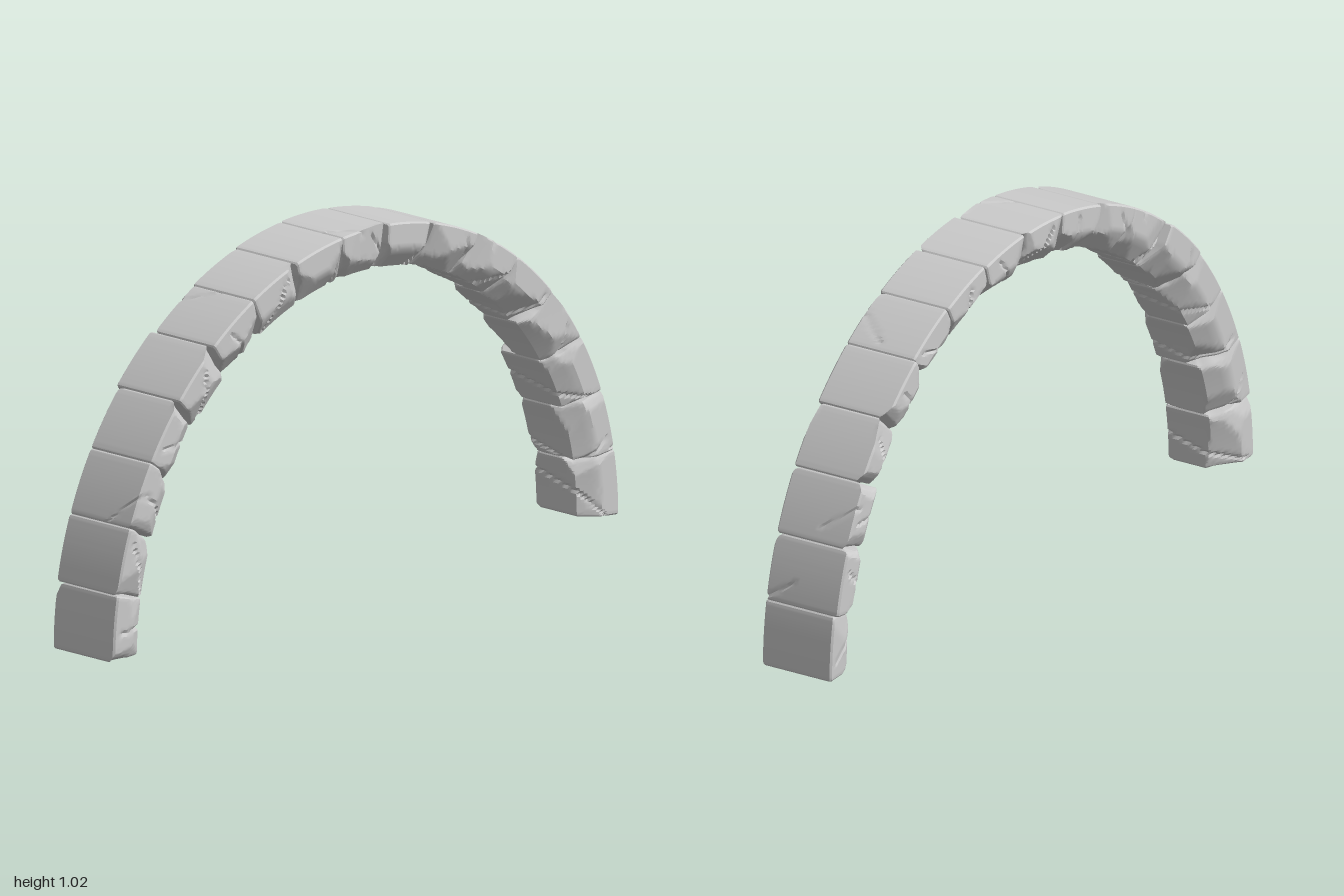
import * as THREE from 'three';
import { toCreasedNormals } from 'three/addons/utils/BufferGeometryUtils.js';

const STONES = 17, STEP = Math.PI / STONES, DEPTH = 0.13, ROWS = 24;
const LEFT = 0.117;
// half width on the right side for each stone, from the front foot to the back foot
const RIGHT = [0.11, 0.112, 0.111, 0.111, 0.121, 0.106, 0.112, 0.117, 0.121,
  0.118, 0.112, 0.107, 0.116, 0.11, 0.118, 0.121, 0.11];
// diagonal cracks on the outer face: stone -> [x, position along stone, slope]
const CRACKS = { 2: [0.06, -0.055, 0.9], 5: [-0.05, 0.06, 0.55], 8: [0.075, -0.05, 0.9],
  11: [0.06, 0.03, -0.8], 14: [-0.06, 0.02, 0.7], 15: [0.07, 0.05, 0.6] };

function seeded(seed) {
  let s = seed * 7919 + 17;
  return () => {
    s = (s * 16807) % 2147483647;
    return s / 2147483647;
  };
}

// Arch frame: x across, r inward-to-outward depth, a angle from the front foot
function place(x, r, a) {
  const inset = DEPTH - r;
  return [x, (1.01 - inset) * Math.sin(a) + 0.015 - inset * 0.1 * Math.cos(a), (1 - inset) * Math.cos(a)];
}

// Block section: flat outside, broad chamfers on the inner edges, finely divided
function section(right, rand) {
  const cl = 0.034 + rand() * 0.014, cr = 0.034 + rand() * 0.014;
  const corners = [
    [-right + cr, 0], [LEFT - cl, 0], [LEFT - 0.008, 0.045], [LEFT, 0.062],
    [LEFT, DEPTH - 0.005], [LEFT - 0.005, DEPTH], [-right + 0.005, DEPTH],
    [-right, DEPTH - 0.005], [-right, 0.062], [-right + 0.008, 0.045],
  ];
  const loop = [];
  corners.forEach(([x, r], i) => {
    const [x2, r2] = corners[(i + 1) % corners.length];
    const n = Math.max(1, Math.round(Math.hypot(x2 - x, r2 - r) / 0.011));
    for (let k = 0; k < n; k++) loop.push([x + (x2 - x) * k / n, r + (r2 - r) * k / n]);
  });
  return loop;
}

// Random chipping planes over the side and inner edges of a stone
function chips(right, half, rand) {
  const list = [];
  for (let i = 0; i < 9; i++) {
    const side = i % 2 ? 1 : -1, end = rand() < 0.5 ? -1 : 1;
    const n = new THREE.Vector3(side * (0.5 + rand() * 0.5), -rand() * 0.8, end * (0.1 + rand() * 0.6)).normalize();
    const support = Math.abs(n.x) * ((side > 0 ? LEFT : right) - 0.012) + n.y * 0.045 + Math.abs(n.z) * half;
    list.push({ n, d: support - 0.002 - rand() * 0.014 });
  }
  return list;
}

function stoneGeometry(index) {
  const rand = seeded(index + 3);
  const right = RIGHT[index], half = STEP * 0.94 / 2;
  const loop = section(right, rand), count = loop.length;
  const planes = chips(right, half, rand);
  const crack = CRACKS[index];
  // one irregular crack across each stone's sides
  const seam = { s: (rand() - 0.5) * 0.08, slope: (rand() - 0.5) * 2.4, r: 0.06 };
  const mid = (index + 0.5) * STEP;
  const pos = [], tris = [], p = new THREE.Vector3();

  for (let j = 0; j <= ROWS; j++) {
    const t = j / ROWS * 2 - 1;
    // rows bunch up at both ends, where the edges are rounded
    const s = half * Math.sin(t * Math.PI / 2) * 0.5 + half * t * 0.5;
    const edge = Math.max(0, 1 - (half - Math.abs(s)) / 0.005);
    for (const [x, r] of loop) {
      p.set(x, r, s);
      for (const { n, d } of planes) {
        const over = p.dot(n) - d;
        if (over > 0) p.addScaledVector(n, -over);
      }
      let sink = edge * 0.004;
      if (crack && r > DEPTH - 0.02) {
        const d = Math.abs(s - crack[1] - (x - crack[0]) * crack[2]);
        if ((x - crack[0]) * Math.sign(crack[0]) > -0.04) sink += 0.005 * Math.max(0, 1 - d / 0.007);
      }
      if (r < DEPTH - 0.02) {
        const d = Math.abs(s - seam.s - (r - seam.r) * seam.slope - x * 0.3);
        sink += 0.007 * Math.max(0, 1 - d / 0.008);
      }
      p.x -= Math.sign(x) * Math.min(1, Math.abs(x) / 0.08) * sink;
      p.y += (DEPTH / 2 - r) / (DEPTH / 2) * sink;
      pos.push(...place(p.x, p.y, mid + p.z * STEP / (half * 2)));
    }
  }
  for (let j = 0; j < ROWS; j++) {
    for (let i = 0; i < count; i++) {
      const k = (i + 1) % count;
      const a = j * count + i, b = a + count, c = j * count + k, d = c + count;
      tris.push(a, b, c, b, d, c);
    }
  }
  // end faces
  const first = pos.length / 3, last = ROWS * count;
  pos.push(...place(0, 0.07, mid - STEP / 2), ...place(0, 0.07, mid + STEP / 2));
  for (let i = 0; i < count; i++) {
    const k = (i + 1) % count;
    tris.push(first, i, k, first + 1, last + k, last + i);
  }
  const geo = new THREE.BufferGeometry();
  geo.setAttribute('position', new THREE.Float32BufferAttribute(pos, 3));
  geo.setIndex(tris);
  return toCreasedNormals(geo, 0.45);
}

export function createModel() {
  const arch = new THREE.Group();
  arch.name = 'stoneArch';
  const stone = new THREE.MeshStandardMaterial({ color: 0xcccccc });
  for (let i = 0; i < STONES; i++) {
    const mesh = new THREE.Mesh(stoneGeometry(i), stone);
    mesh.name = i === 8 ? 'keystone' : i === 0 ? 'frontFootStone' : i === STONES - 1 ? 'backFootStone' : `archStone${i}`;
    arch.add(mesh);
  }
  return arch;
}
